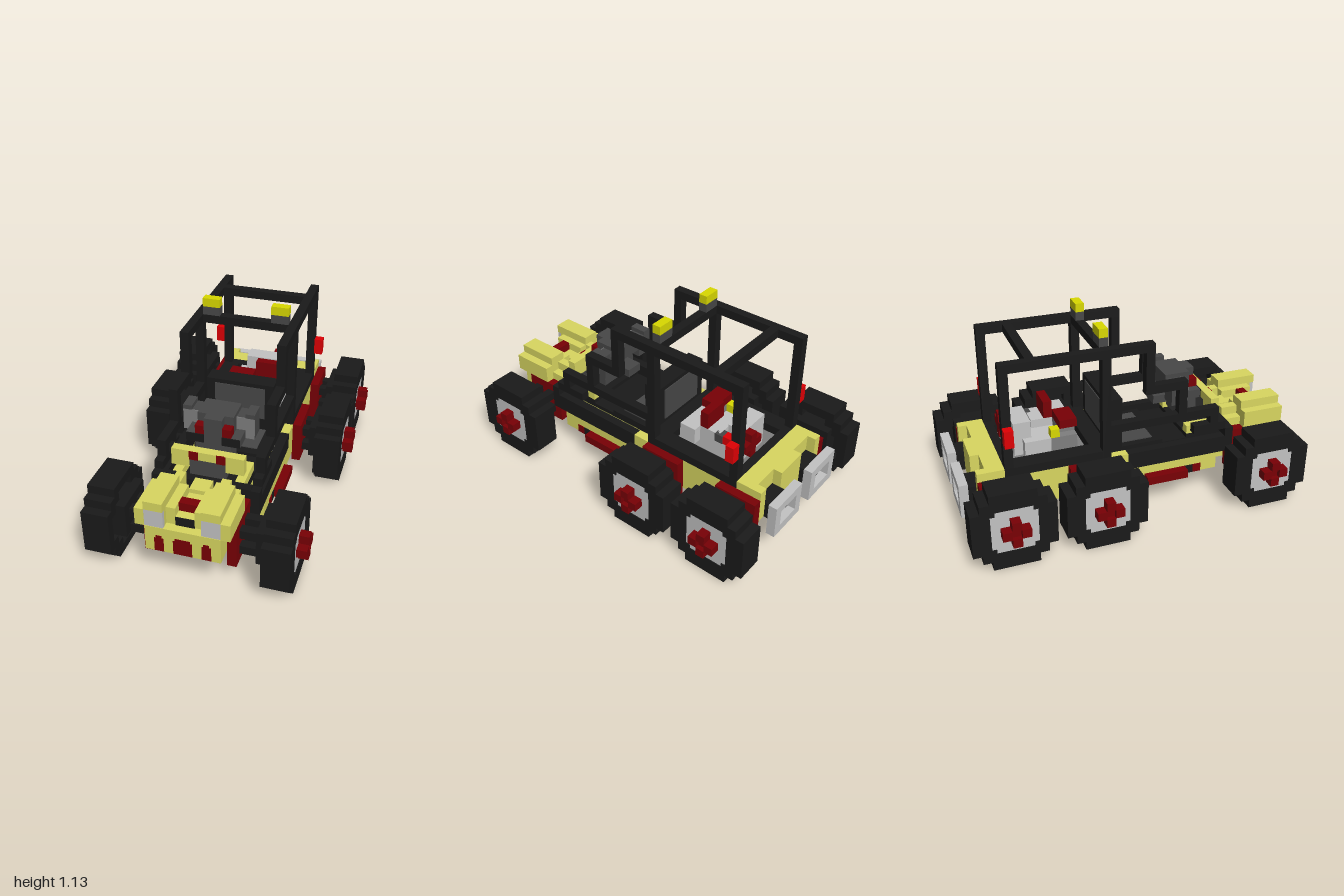
import * as THREE from 'three';

const V = 2 / 39; // one block
const mat = (name, color) => Object.assign(new THREE.MeshStandardMaterial({ color }), { name });
const M = {
  black: mat('black', 0x1a1a1a), cream: mat('cream yellow', 0xd8d660), red: mat('dark red', 0x780005),
  lamp: mat('lamp red', 0xde0004), light: mat('light grey', 0xc2c2c2), mid: mat('mid grey', 0x7e7e7e),
  dark: mat('dark grey', 0x474747), amber: mat('amber yellow', 0xd8d800), navy: mat('navy', 0x080838),
};

export function createModel() {
  const root = new THREE.Group();
  root.name = 'buggy';

  // Box from its limits, in blocks
  const box = (name, m, x0, x1, y0, y1, z0, z1, parent = root) => {
    const g = new THREE.BoxGeometry(x1 - x0, y1 - y0, z1 - z0);
    g.translate((x0 + x1) / 2, (y0 + y1) / 2, (z0 + z1) / 2);
    const mesh = new THREE.Mesh(g, M[m]);
    mesh.name = name;
    parent.add(mesh);
  };
  // The same box on both sides
  const pair = (name, m, x0, x1, ...r) => {
    box(name + 'Left', m, x0, x1, ...r);
    box(name + 'Right', m, -x1, -x0, ...r);
  };

  // Stepped disc outline: one corner run turned through four quarters
  const stepped = (run) => {
    const pts = [];
    for (let q = 0; q < 4; q++) {
      const c = [1, 0, -1, 0][q], s = [0, 1, 0, -1][q];
      for (const [x, y] of run) pts.push(new THREE.Vector2(x * c - y * s, x * s + y * c));
    }
    return pts;
  };
  const tyreRun = [[4.5, 2.5], [3.5, 2.5], [3.5, 3.5], [2.5, 3.5], [2.5, 4.5]];
  const dishRun = [[3.5, 1.5], [2.5, 1.5], [2.5, 2.5], [1.5, 2.5], [1.5, 3.5]];
  const rimRun = [[2.5, 2], [2, 2], [2, 2.5]];
  const disc = (run, depth, holeRun) => {
    const shape = new THREE.Shape(stepped(run));
    if (holeRun) shape.holes.push(new THREE.Path(stepped(holeRun)));
    return new THREE.ExtrudeGeometry(shape, { depth, bevelEnabled: false });
  };
  // Wheel layers along the axle: geometry, colour, start
  const layers = [
    ['tyreInner', disc(tyreRun, 1, dishRun), 'black', 0],
    ['tyreOuter', disc(tyreRun, 2, rimRun), 'black', 1],
    ['rim', disc(rimRun, 1.4), 'light', 1.5],
  ];

  // Wheel: axle along local z, outer face at z = 3
  const wheel = (side, x, z) => {
    const w = new THREE.Group();
    w.name = 'wheel';
    for (const [name, geo, m, start] of layers) {
      const mesh = new THREE.Mesh(geo, M[m]);
      mesh.name = name;
      mesh.position.z = start;
      w.add(mesh);
    }
    for (const s of [-1, 1]) {
      box('hubLug', 'red', s - 0.5, s + 0.5, -0.5, 0.5, 2.5, 4, w);
      box('hubLug', 'red', -0.5, 0.5, s - 0.5, s + 0.5, 2.5, 4, w);
    }
    box('hubCentre', 'red', -0.5, 0.5, -0.5, 0.5, 2.5, 3.5, w);
    box('innerHub', 'black', -2.5, 2.5, -1.5, 2.5, -1, 1.6, w);
    w.position.set(side * x, 4.5, z);
    w.rotation.y = side * Math.PI / 2;
    root.add(w);
  };
  for (const s of [1, -1]) {
    wheel(s, 8, 15);
    wheel(s, 9, -5);
    wheel(s, 9, -15);
  }

  // Suspension arms and brackets
  for (const [z, x1] of [[15, 8], [-5, 9], [-15, 9]]) {
    for (const y of [3, 5]) {
      pair('suspensionArm', 'black', 5, x1, y, y + 1, z - 1.5, z - 0.5);
      pair('suspensionArm', 'black', 5, x1, y, y + 1, z + 0.5, z + 1.5);
    }
  }
  pair('frontBracket', 'red', 4, 5, 2, 7, 12.5, 17.5);
  for (const z of [-5, -15]) {
    pair('rearBracket', 'red', 6, 7, 2, 7, z - 2.5, z + 2.5);
    box('axle', 'black', -6, 6, 3, 4, z - 0.5, z + 0.5);
  }
  box('frontSkid', 'black', -2, 2, 2, 3, 13.5, 16.5);
  box('frontCrossMember', 'black', -4, 4, 3, 4, 13.5, 16.5);

  // Nose
  box('noseFloor', 'cream', -4, 4, 4, 7, 14.5, 19.5);
  pair('noseCheek', 'cream', 4, 5, 7, 9, 14.5, 19.5);
  pair('noseRidge', 'cream', 2, 4, 9, 10, 14.5, 19.5);
  pair('noseCore', 'cream', 2, 4, 7, 9, 14.5, 19);
  pair('headlight', 'light', 2, 4, 7, 9, 19, 19.45);
  box('noseValley', 'cream', -1, 1, 7, 8, 14.5, 18.5);
  pair('noseValleySide', 'cream', 1, 2, 7, 9, 14.5, 18.5);
  box('noseVent', 'black', -1, 1, 7, 8, 18.5, 18.6);
  box('noseBadge', 'red', -1, 1, 8, 9, 16.5, 17.5);
  for (const [x, w] of [[-3, 1], [-1, 2], [2, 1]]) {
    box('grilleSlot', 'red', x, x + w, 4.05, 5.7, 19.4, 19.55);
    box('grilleSlotTop', 'red', x + 0.2, x + w - 0.2, 5.7, 6, 19.4, 19.55);
  }

  // Cowl behind the nose
  pair('cowlSide', 'cream', 3, 4, 7, 8, 7.5, 14.5);
  box('cowlFloor', 'black', -4, 4, 6, 7, 7.5, 14.5);
  pair('cowlTop', 'cream', 2, 4, 9, 11, 10.5, 11.5);
  box('cowlBridge', 'cream', -2, 2, 10, 11, 10.5, 11.5);
  box('cowlGrille', 'dark', -2, 2, 8, 10, 10.5, 11.4);
  pair('cowlSpine', 'cream', 2, 3, 7, 9, 12.5, 14.5);
  box('cowlCentre', 'cream', -1, 1, 7, 8.5, 12.5, 14.5);
  pair('cowlTrim', 'red', 1, 2, 10, 11, 11.4, 11.6);

  // Dash and front engine
  box('engineBase', 'dark', -2, 2, 8, 10, 7.5, 9.5);
  box('engineBlock', 'dark', -2, 2, 10, 12, 6.5, 9.5);
  box('engineTop', 'dark', -2, 2, 12, 14, 5.5, 8.5);
  box('engineNose', 'dark', -1, 1, 12, 14, 8.5, 9.5);
  pair('enginePipe', 'red', 1, 2, 12, 13, 8.5, 9.5);
  pair('engineFoot', 'dark', 2, 3, 11, 12, 7.5, 9.5);
  pair('engineFootFace', 'black', 1, 3, 11, 12, 9.5, 9.6);
  pair('engineSide', 'dark', 2, 4, 11, 13.5, 5.5, 7.4);
  pair('engineSideFace', 'mid', 2, 4, 11, 13.5, 7.4, 7.5);
  pair('engineCap', 'dark', 3, 4, 13.5, 14, 5.5, 7.5);
  box('steeringColumn', 'dark', -1, 1, 10, 11, 4.5, 6.5);

  // Chassis
  pair('sill', 'cream', 5, 6, 3, 5, -0.5, 10.5);
  pair('innerSill', 'cream', 3, 4, 3, 6, -0.5, 13.5);
  pair('sideStep', 'red', 4, 7, 3, 4, 1.5, 6.5);
  pair('sideStepFront', 'red', 4, 5, 3, 4, 6.5, 8.5);
  pair('sillPatch', 'red', 6, 6.1, 3, 4, 7.5, 8.5);
  pair('sillNotch', 'black', 6, 6.1, 3, 4, 6.5, 7.5);
  box('floor', 'black', -4, 4, 6, 6.5, -4.5, 10.5);
  pair('underRail', 'navy', 2, 3, 5.5, 6, -2.5, 5.5);
  box('underRib', 'navy', -2, 2, 5.5, 6, 4.5, 5.5);

  // Seat
  box('seatBase', 'black', -4, 4, 6.5, 6.9, -2.5, 4.5);
  box('seatCushion', 'dark', -3.2, 3.2, 6.9, 7, -0.5, 3.5);
  box('seatBack', 'black', -4, 4, 6.5, 13, -2.5, -0.5);
  box('seatBackPanel', 'dark', -3, 3, 8.5, 12.5, -2.6, -2.5);
  box('seatBackPad', 'dark', -3, 3, 8.5, 12.5, -0.5, -0.4);

  // Roll cage: boxes at both sides given as y and z limits
  for (const [y0, y1, z0, z1] of [
    [5, 7, -0.5, 12.5], [7, 8, 11.5, 12.5], [8, 9, 7.5, 11.5], [9, 11, 9.5, 10.5],
    [10, 11, -2.5, 9.5], [11, 14, 5.5, 6.5], [14, 15, 1.5, 6.5], [15, 19, 1.5, 2.5],
    [19, 20, -14.5, 2.5], [7, 19, -3.5, -2.5], [8, 19, -14.5, -13.5], [7, 8, -14.5, -3.5],
  ]) pair('cageTube', 'black', 5, 6, y0, y1, z0, z1);
  box('frontCrossBar', 'black', -5, 5, 7, 8.1, 11.5, 12.5);
  for (const z of [-3, -11]) box('roofBar', 'black', -5, 5, 19, 20, z - 0.5, z + 0.5);
  pair('roofLightBase', 'dark', 3, 5, 20, 21, -3.5, -2.5);
  pair('roofLight', 'amber', 3, 5, 21, 22, -3.5, -2.5);
  pair('tailLamp', 'lamp', 6, 7, 11, 13, -14.5, -13.5);

  // Rear bed
  pair('bedSide', 'cream', 5, 6, 3, 7, -14.5, -0.5);
  pair('bedRim', 'black', 4, 5, 7, 8, -14.5, -2.5);
  box('bedRimRear', 'black', -4, 4, 7, 8, -14.5, -13.5);
  box('bedRimFront', 'black', -4, 4, 7, 8, -4.5, -2.5);
  box('bedFloor', 'mid', -5, 5, 6.5, 7, -13.5, -4.5);
  box('bedUnderside', 'black', -4, 4, 6, 6.5, -13.5, -4.5);
  box('tailPanel', 'cream', -6, 6, 4, 8, -16.5, -14.5);
  box('tailCentre', 'cream', -2, 2, 4, 8, -17.5, -16.5);
  pair('tailEnd', 'cream', 5, 6, 4, 8, -17.5, -16.5);

  // Exhaust frames at the tail
  pair('exhaustBox', 'black', 2, 5, 4, 6, -18.6, -16.5);
  pair('exhaustFrameTop', 'light', 1, 6, 6, 7, -19.5, -18.5);
  pair('exhaustFrameBase', 'light', 1, 6, 3, 4, -19.5, -18.5);
  pair('exhaustFrameInner', 'light', 1, 2, 4, 6, -19.5, -18.5);
  pair('exhaustFrameOuter', 'light', 5, 6, 4, 6, -19.5, -18.5);

  // Rear engine
  box('motorBlock', 'light', -2, 3, 7, 9, -12.5, -5.5);
  box('motorSide', 'light', 3, 4, 8, 10, -7.5, -5.5);
  box('motorHead', 'light', 0, 3, 9, 10, -10, -5.5);
  box('motorRear', 'light', -2, 2, 9, 11, -12.5, -10.5);
  box('motorShelf', 'light', -3, -2, 7, 9, -11.5, -8.5);
  box('motorShelfFront', 'mid', -3, -2, 7, 9, -8.5, -5.5);
  box('motorCover', 'red', -3, 0, 10, 11, -7.5, -5.5);
  box('motorCoverBase', 'mid', -2, 0, 9, 10, -7.5, -5.5);
  box('motorPipe', 'red', 0, 3, 10, 12, -8.5, -7.5);
  box('motorFanBar', 'red', 0, 3, 9, 10, -13.5, -12.5);
  box('motorFanPost', 'red', 1, 2, 8, 11, -13.5, -12.5);
  box('motorCap', 'lamp', 2, 3, 9, 10, -11.5, -10.5);
  box('motorValve', 'dark', 2, 3.1, 9, 10, -10.5, -9.5);
  box('motorPlug', 'amber', -3, -2, 9, 10, -8.5, -7.5);

  root.scale.setScalar(V);
  const group = new THREE.Group();
  group.name = 'model';
  group.add(root);
  return group;
}
